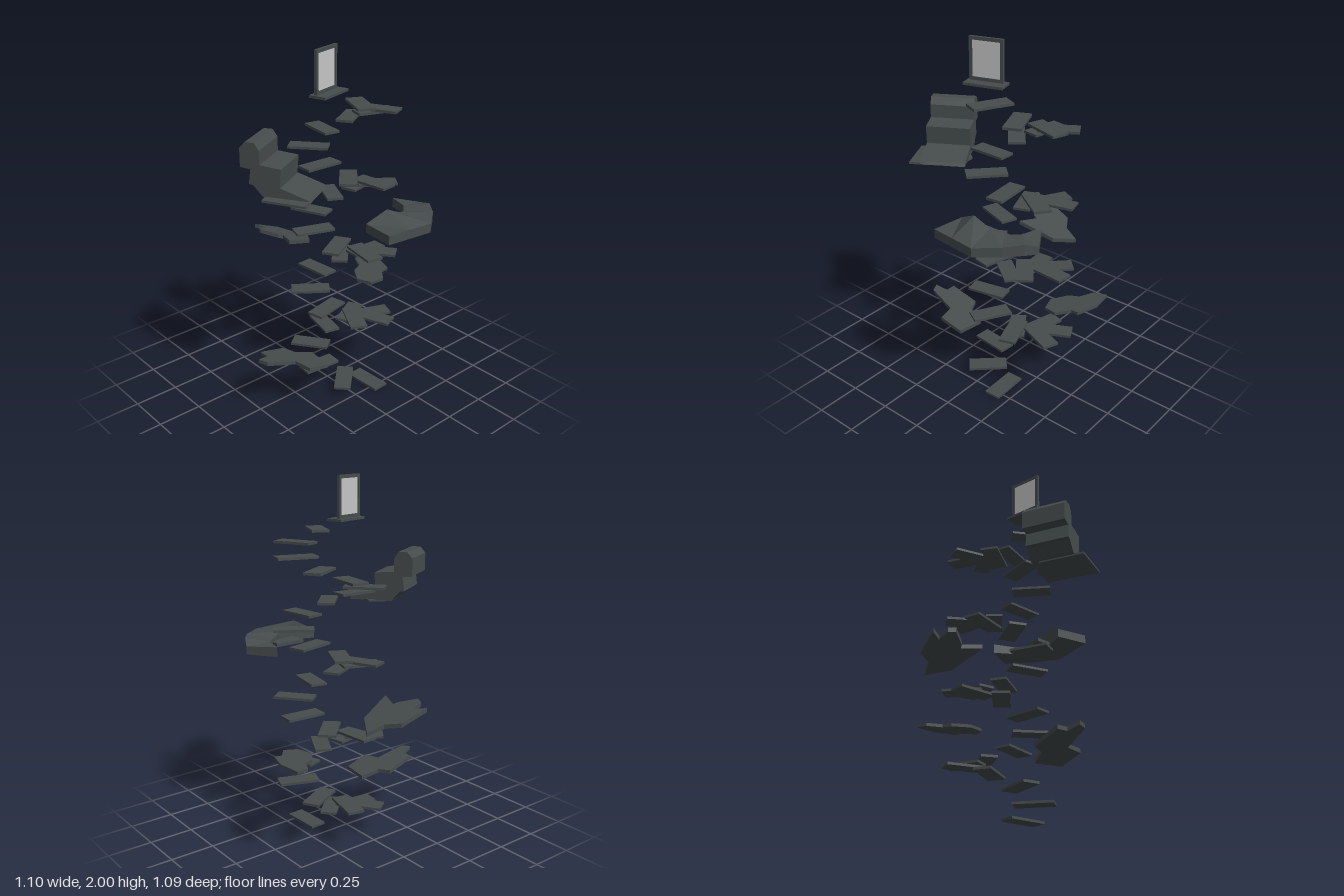
import * as THREE from 'three';

export function createModel() {
  const model = new THREE.Group();
  const stone = new THREE.MeshStandardMaterial({ color: 0x464c4c, flatShading: true });
  stone.name = 'dark slate';
  const pale = new THREE.MeshStandardMaterial({ color: 0xc6c6c6, flatShading: true });
  pale.name = 'pale grey';

  function add(parent, name, geometry, x = 0, y = 0, z = 0, material = stone) {
    const mesh = new THREE.Mesh(geometry, material);
    mesh.name = name;
    mesh.position.set(x, y, z);
    parent.add(mesh);
    return mesh;
  }

  // Spiral of floating treads around an open well
  const COUNT = 32, TURN = THREE.MathUtils.degToRad(48.9), RISE = 0.0567;
  const stairs = new THREE.Group();
  stairs.name = 'spiralStairs';
  stairs.position.z = -0.12;
  model.add(stairs);
  const treadGeometry = new THREE.BoxGeometry(0.22, 0.014, 0.095);
  let tread;
  for (let i = 0; i < COUNT; i++) {
    tread = new THREE.Group();
    tread.name = 'step' + (i + 1);
    tread.position.y = 0.007 + i * RISE;
    tread.rotation.y = THREE.MathUtils.degToRad(2) - i * TURN;
    add(tread, 'tread', treadGeometry, 0.19, 0, -0.025);
    stairs.add(tread);
  }

  // Doorway on the last tread
  const door = new THREE.Group();
  door.name = 'doorway';
  door.position.set(0.194, 0.007, -0.008);
  tread.add(door);
  const H = 0.228, W = 0.19, BAR = 0.018;
  for (const s of [-1, 1]) {
    add(door, 'doorPost', new THREE.BoxGeometry(BAR, H, 0.016), s * (W - BAR) / 2, H / 2, 0);
    add(door, 'doorRail', new THREE.BoxGeometry(W, BAR, 0.016), 0, H / 2 + s * (H - BAR) / 2, 0);
  }
  add(door, 'doorPanel', new THREE.BoxGeometry(W - 2 * BAR, H - 2 * BAR, 0.008), 0, H / 2, 0, pale);

  // Flat slab cut to an outline of [x, z] points, sloped by y = a + b x + c z
  function slab(parent, name, points, thickness, a, b, c) {
    const shape = new THREE.Shape(points.map(([x, z]) => new THREE.Vector2(x, -z)));
    const g = new THREE.ExtrudeGeometry(shape, { depth: thickness, bevelEnabled: false });
    g.rotateX(-Math.PI / 2);
    const p = g.attributes.position;
    for (let i = 0; i < p.count; i++) p.setY(i, p.getY(i) + a + b * p.getX(i) + c * p.getZ(i));
    g.computeVertexNormals();
    return add(parent, name, g);
  }

  // Jagged landings
  slab(model, 'lowerFrontLanding', [[0.04, 0.15], [0.2, 0.17], [0.21, 0.31], [0.11, 0.33], [0.08, 0.5],
    [0.03, 0.52], [0.01, 0.45], [-0.05, 0.45], [-0.06, 0.28], [0.01, 0.25]], 0.022, 0.185, 0, 0.28);
  slab(model, 'rearLanding', [[-0.27, -0.53], [-0.14, -0.545], [-0.02, -0.505], [-0.025, -0.46], [0.05, -0.4],
    [0.03, -0.32], [-0.06, -0.29], [-0.15, -0.35], [-0.17, -0.41], [-0.25, -0.45]], 0.018, 0.488, 0, -0.1);
  slab(model, 'sideLanding', [[-0.42, -0.2], [-0.3, -0.12], [-0.24, 0.08], [-0.35, 0.04], [-0.36, 0.065],
    [-0.44, 0.135], [-0.48, 0.12], [-0.49, 0.055], [-0.55, 0.095], [-0.53, -0.06], [-0.45, -0.11]],
    0.024, 0.785, 0, 0.36);

  // Curved walkway lofted through [innerX, innerZ, innerTop, outerX, outerZ, outerTop, bottom]
  const sections = [
    [0.325, 0.015, 1.11, 0.515, 0.035, 1.11, 1.06],
    [0.36, -0.1, 1.172, 0.53, -0.1, 1.112, 1.06],
    [0.35, -0.2, 1.125, 0.545, -0.24, 1.11, 1.06],
    [0.32, -0.27, 1.1, 0.45, -0.36, 1.115, 1.06],
    [0.26, -0.33, 1.1, 0.36, -0.43, 1.118, 1.055],
    [0.14, -0.365, 1.1, 0.29, -0.465, 1.09, 1.045],
  ];
  const rings = sections.map(([ix, iz, iy, ox, oz, oy, b]) =>
    [[ix, iy, iz], [ox, oy, oz], [ox, b, oz], [ix, b, iz]]);
  const verts = [];
  const quad = (a, b, c, d) => verts.push(...a, ...b, ...c, ...a, ...c, ...d);
  for (let i = 0; i < rings.length - 1; i++) {
    for (let k = 0; k < 4; k++) {
      const n = (k + 1) % 4;
      quad(rings[i][k], rings[i][n], rings[i + 1][n], rings[i + 1][k]);
    }
  }
  const first = rings[0], last = rings[rings.length - 1];
  quad(first[0], first[3], first[2], first[1]);
  quad(last[0], last[1], last[2], last[3]);
  const walkway = new THREE.BufferGeometry();
  walkway.setAttribute('position', new THREE.Float32BufferAttribute(verts, 3));
  walkway.computeVertexNormals();
  add(model, 'curvedWalkway', walkway);
  slab(model, 'walkwayLink', [[0.27, -0.28], [0.37, -0.27], [0.37, -0.11], [0.27, -0.1]], 0.02, 1.06, 0, 0);

  // Stepped upper landing: profiles in (length, height) swept across its width
  const WIDTH = 0.245;
  const upper = new THREE.Group();
  upper.name = 'upperLanding';
  upper.position.set(-0.1025, 0, 0.435);
  upper.rotation.y = Math.PI / 6;
  model.add(upper);
  function block(name, profile, width = WIDTH) {
    const shape = new THREE.Shape(profile.map(([u, y]) => new THREE.Vector2(u, y)));
    const g = new THREE.ExtrudeGeometry(shape, { depth: width, bevelEnabled: false });
    add(upper, name, g, 0, 0, -width / 2);
  }
  block('topBlock', [[0, 1.45], [0.09, 1.44], [0.105, 1.47], [0.105, 1.545], [0.08, 1.583],
    [0.03, 1.583], [0, 1.55]]);
  block('middleBlock', [[0.045, 1.365], [0.21, 1.34], [0.22, 1.46], [0.06, 1.475]]);
  block('frontWedge', [[0.12, 1.305], [0.37, 1.3], [0.36, 1.315], [0.22, 1.36], [0.06, 1.37]]);
  slab(model, 'upperLandingBase', [[0.04, 0.19], [0.17, 0.19], [0.31, 0.41], [0.1, 0.52], [-0.03, 0.3]],
    0.012, 1.296, 0, 0);

  return model;
}
